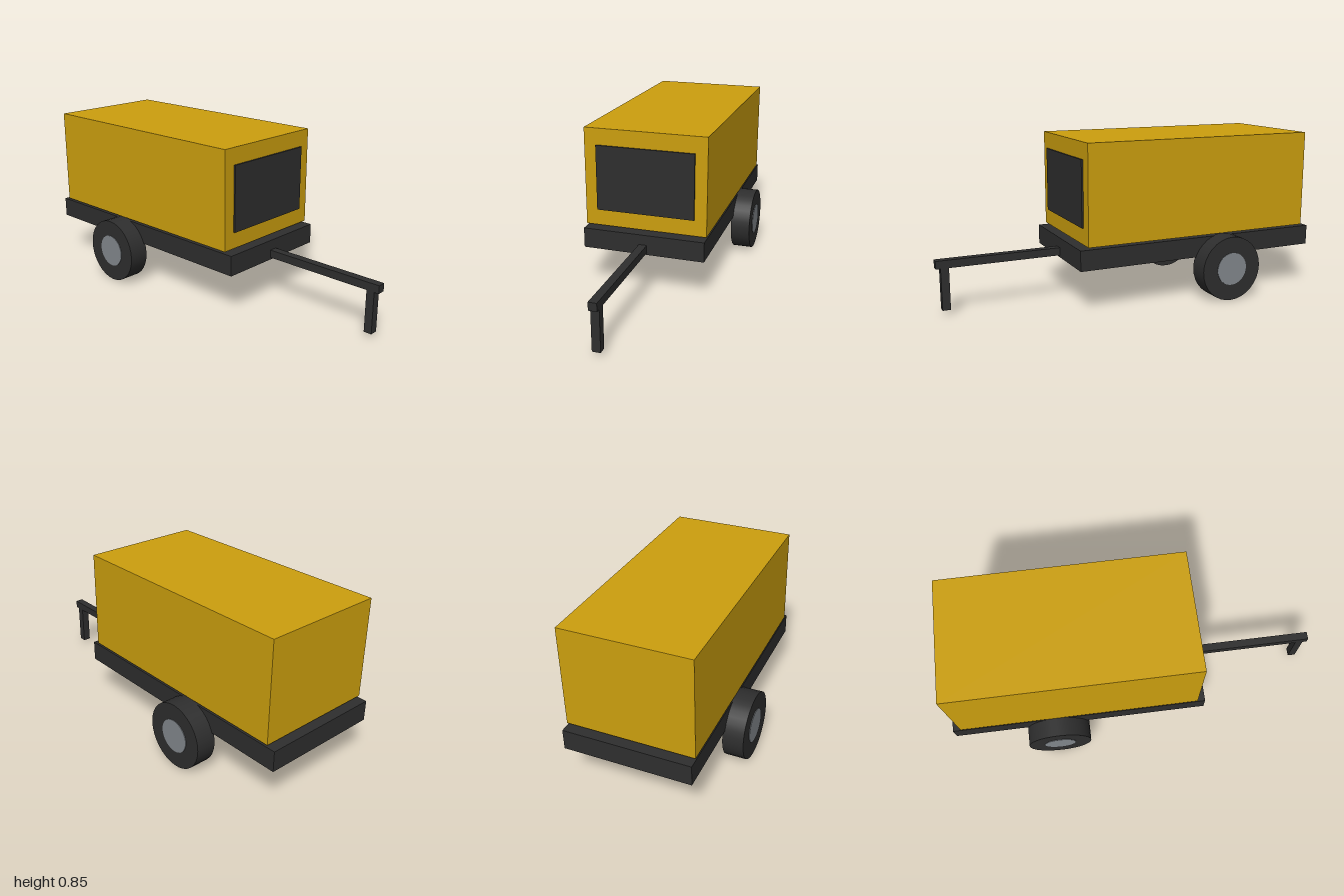
import * as THREE from 'three';

function material(name, color) {
  const m = new THREE.MeshStandardMaterial({ color });
  m.name = name;
  return m;
}

export function createModel() {
  const yellow = material('yellow paint', 0xcc9f0e);
  const dark = material('dark steel and rubber', 0x2e2e2e);
  const grey = material('grey hub', 0x82878c);
  const model = new THREE.Group();
  model.name = 'towedGenerator';

  // Box given by its min and max corners
  function box(name, mat, [x0, y0, z0], [x1, y1, z1]) {
    const mesh = new THREE.Mesh(new THREE.BoxGeometry(x1 - x0, y1 - y0, z1 - z0), mat);
    mesh.position.set((x0 + x1) / 2, (y0 + y1) / 2, (z0 + z1) / 2);
    mesh.name = name;
    model.add(mesh);
  }

  // Cylinder lying along z
  function disc(name, mat, radius, width) {
    const geometry = new THREE.CylinderGeometry(radius, radius, width, 32);
    geometry.rotateX(Math.PI / 2);
    const mesh = new THREE.Mesh(geometry, mat);
    mesh.name = name;
    return mesh;
  }

  // Housing on its chassis, with the end panel
  box('chassis', dark, [-1, 0.226, -0.319], [0.358, 0.331, 0.319]);
  box('housing', yellow, [-0.957, 0.342, -0.319], [0.316, 0.853, 0.319]);
  box('endPanel', dark, [0.316, 0.427, -0.256], [0.325, 0.767, 0.256]);

  // Drawbar and its support leg
  box('drawbar', dark, [0.35, 0.237, -0.021], [1, 0.278, 0.021]);
  box('supportLeg', dark, [0.935, 0.022, -0.021], [0.976, 0.237, 0.021]);

  // Pair of wheels; each hub stands just proud of the tyre
  for (const side of [1, -1]) {
    const wheel = new THREE.Group();
    wheel.name = side > 0 ? 'frontWheel' : 'backWheel';
    wheel.add(disc('tyre', dark, 0.17, 0.106), disc('hub', grey, 0.086, 0.112));
    wheel.position.set(-0.449, 0.17, side * 0.3625);
    model.add(wheel);
  }

  return model;
}
